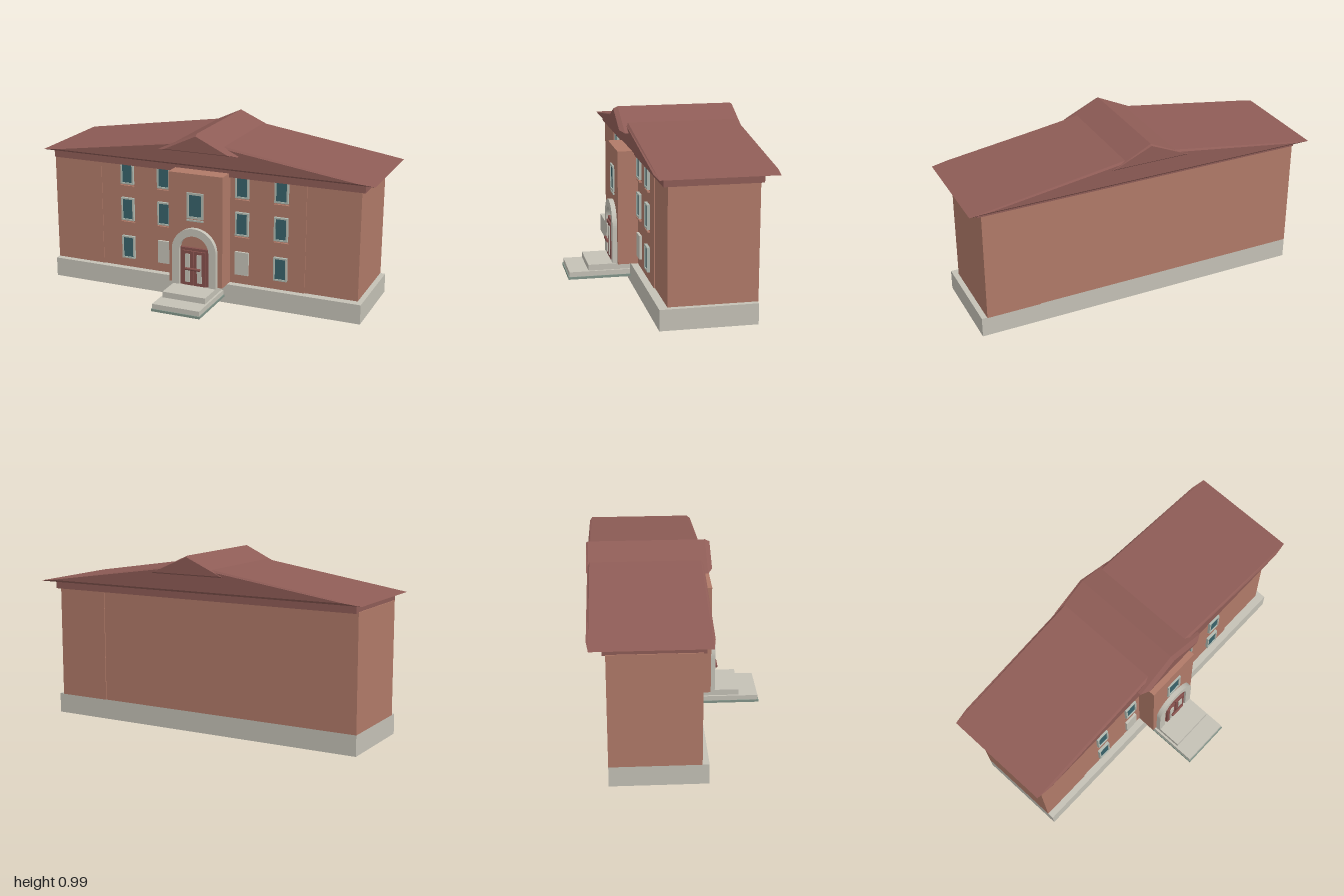
import * as THREE from 'three';

const mat = (name, color) => {
  const m = new THREE.MeshStandardMaterial({ color });
  m.name = name;
  return m;
};

export function createModel() {
  const model = new THREE.Group();
  model.name = 'brickHall';
  const brick = mat('brick', 0xb07a68);
  const stone = mat('stone', 0xc4c1b6);
  const roofRed = mat('roof red', 0x8e5c56);
  const doorRed = mat('door red', 0x85504c);
  const trim = mat('window trim', 0xb0b9b0);
  const glass = mat('glass', 0x38626a);
  const slate = mat('green slate', 0x83958a);

  const add = (name, geometry, material, parent = model) => {
    const mesh = new THREE.Mesh(geometry, material);
    mesh.name = name;
    parent.add(mesh);
    return mesh;
  };
  // Box given by its extents on each axis
  const box = (name, material, x0, x1, y0, y1, z0, z1, parent = model) => {
    const mesh = add(name, new THREE.BoxGeometry(x1 - x0, y1 - y0, z1 - z0), material, parent);
    mesh.position.set((x0 + x1) / 2, (y0 + y1) / 2, (z0 + z1) / 2);
    return mesh;
  };

  // Triangular roof lofted front to back through sections [z, halfWidth, base, apex]
  const gable = (name, sections) => {
    const pos = [];
    const idx = [];
    for (const [z, w, y0, y1] of sections) pos.push(-w, y0, z, w, y0, z, 0, y1, z);
    idx.push(0, 1, 2);
    for (let i = 0; i < sections.length - 1; i++) {
      for (let k = 0; k < 3; k++) {
        const a = i * 3 + k, b = i * 3 + (k + 1) % 3;
        idx.push(a, a + 3, b, b, a + 3, b + 3);
      }
    }
    const e = (sections.length - 1) * 3;
    idx.push(e, e + 2, e + 1);
    const indexed = new THREE.BufferGeometry();
    indexed.setAttribute('position', new THREE.Float32BufferAttribute(pos, 3));
    indexed.setIndex(idx);
    const geometry = indexed.toNonIndexed();
    geometry.computeVertexNormals();
    return add(name, geometry, roofRed);
  };

  // Body of the building
  box('plinth', stone, -0.95, 0.945, 0, 0.113, -0.385, 0.132);
  box('mainWalls', brick, -0.645, 0.61, 0.113, 0.745, -0.385, 0.092);
  box('rightWing', brick, -0.95, -0.645, 0.113, 0.745, -0.385, 0.096);
  box('leftWing', brick, 0.61, 0.915, 0.113, 0.745, -0.39, 0.085);
  box('cornice', roofRed, -0.945, 0.94, 0.74, 0.788, -0.402, 0.113);
  box('entranceTower', brick, -0.163, 0.163, 0.113, 0.762, 0.08, 0.205);

  // Roofs with chamfered gable ends
  gable('mainRoof', [
    [0.156, 0.91, 0.799, 0.93], [0.143, 1, 0.788, 0.941],
    [-0.466, 1, 0.788, 0.941], [-0.478, 0.91, 0.799, 0.93],
  ]);
  gable('centreRoof', [
    [0.2, 0.19, 0.886, 0.975], [0.175, 0.237, 0.876, 0.987],
    [-0.472, 0.237, 0.876, 0.987], [-0.485, 0.21, 0.888, 0.98],
  ]);

  // Windows: frame of four bars around a thin pane
  const frameShape = (w, h, t) => {
    const rect = (C, a, b) => {
      const p = new C();
      p.moveTo(-a, -b); p.lineTo(a, -b); p.lineTo(a, b); p.lineTo(-a, b); p.closePath();
      return p;
    };
    const s = rect(THREE.Shape, w / 2, h / 2);
    s.holes.push(rect(THREE.Path, w / 2 - t, h / 2 - t));
    return new THREE.ExtrudeGeometry(s, { depth: 0.018, bevelEnabled: false });
  };
  const windowUnit = (name, x, y, z, w, h, t) => {
    const g = new THREE.Group();
    g.name = name;
    g.position.set(x, y, z);
    add('frame', frameShape(w, h, t), trim, g);
    box('pane', glass, -w / 2 + t, w / 2 - t, -h / 2 + t, h / 2 - t, 0.004, 0.012, g);
    model.add(g);
  };
  for (const x of [-0.475, -0.243, 0.238, 0.469]) {
    for (const y of [0.238, 0.472, 0.692]) {
      if (y < 0.3 && Math.abs(x) < 0.3) {
        box('blankPanel', stone, x - 0.04, x + 0.04, y - 0.068, y + 0.068, 0.09, 0.106);
        continue;
      }
      windowUnit('window', x, y, 0.09, 0.08, 0.137, 0.009);
      if (y > 0.3) box('sill', brick, x - 0.042, x + 0.042, y - 0.084, y - 0.077, 0.09, 0.106);
    }
  }
  windowUnit('towerWindow', 0, 0.58, 0.196, 0.1, 0.15, 0.012);
  box('towerSill', trim, -0.05, 0.05, 0.489, 0.498, 0.2, 0.212);

  // Stone arch around the entrance
  const arch = new THREE.Shape();
  const spring = 0.318;
  arch.moveTo(0.134, 0.113);
  arch.lineTo(0.134, spring);
  arch.absarc(0, spring, 0.134, 0, Math.PI, false);
  arch.lineTo(-0.134, 0.113);
  arch.lineTo(-0.09, 0.113);
  arch.lineTo(-0.09, spring);
  arch.absarc(0, spring, 0.09, Math.PI, 0, true);
  arch.lineTo(0.09, 0.113);
  add('entranceArch', new THREE.ExtrudeGeometry(arch, {
    depth: 0.032, bevelEnabled: false, curveSegments: 16,
  }), stone).position.z = 0.2;

  // Double door with pale panels and a push bar
  box('doorFrame', doorRed, -0.086, 0.086, 0.113, 0.335, 0.2, 0.222);
  for (const s of [-1, 1]) {
    const c = s * 0.036;
    box('doorLeaf', doorRed, c - 0.034, c + 0.034, 0.115, 0.32, 0.215, 0.232);
    box('doorPanel', stone, c - 0.014, c + 0.014, 0.135, 0.303, 0.23, 0.238);
    box('barBracket', doorRed, s * 0.034 - 0.004, s * 0.034 + 0.004, 0.214, 0.222, 0.23, 0.247);
  }
  const bar = add('doorBar', new THREE.CylinderGeometry(0.008, 0.008, 0.088, 12), doorRed);
  bar.rotation.z = Math.PI / 2;
  bar.position.set(0, 0.218, 0.246);

  // Entrance steps
  box('upperStep', stone, -0.13, 0.13, 0.056, 0.11, 0.13, 0.37);
  box('lowerStep', stone, -0.142, 0.142, 0.048, 0.076, 0.135, 0.479);
  box('stepSlab', slate, -0.146, 0.146, 0.034, 0.048, 0.13, 0.485);

  return model;
}
